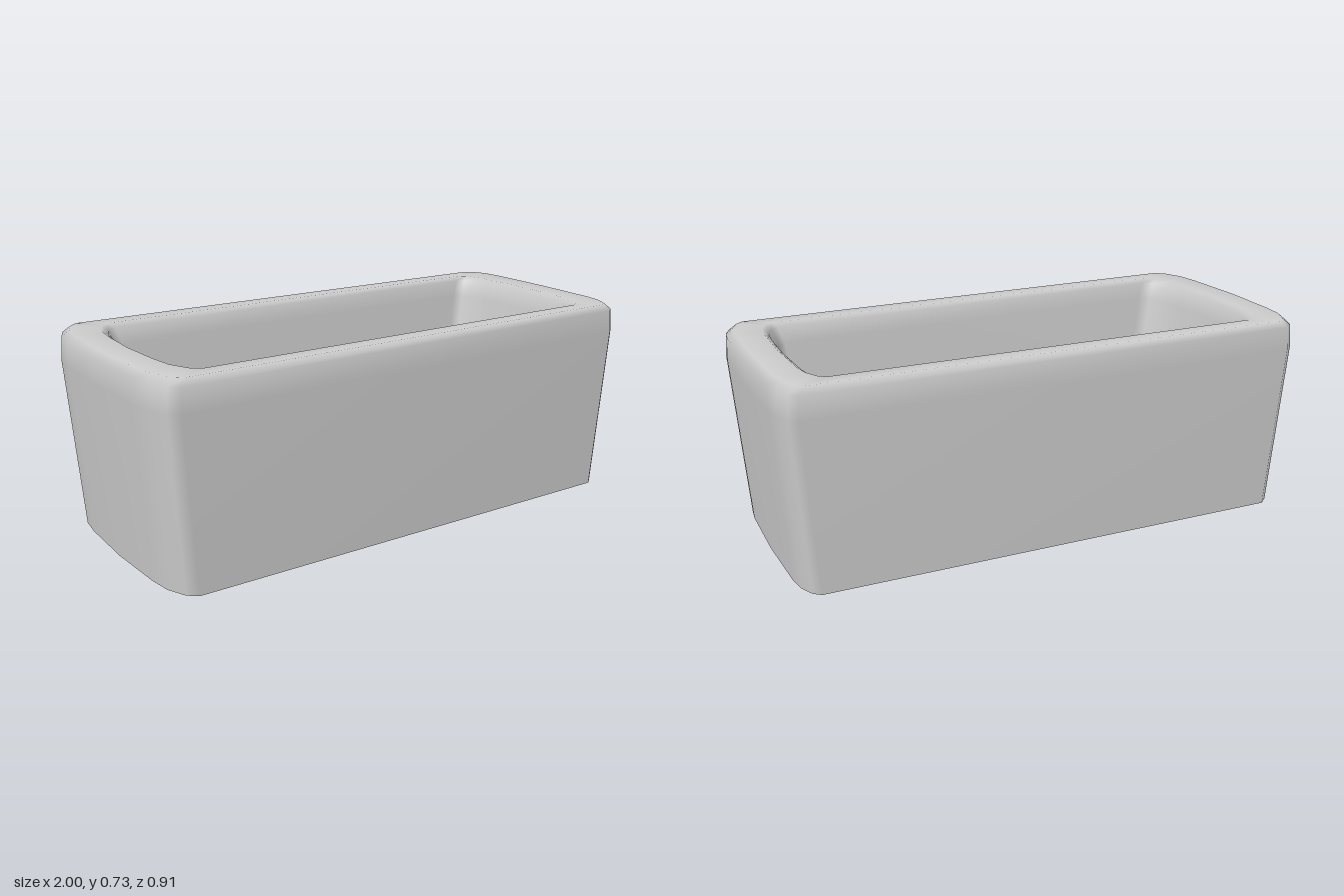
import * as THREE from 'three';

// Corner insets from the long side round to the middle of an end
const CORNER = [[0.075, 0], [0.045, 0.025], [0.018, 0.085], [0.008, 0.16]];

// One horizontal outline, counter-clockwise from above, a little narrower towards +x
function ring([hx, hz, y]) {
  const pts = [];
  const add = (x, z) => pts.push([x, y, z * (1 - 0.028 * x)]);
  const corner = (sx, sz, k, order) =>
    order.forEach(([dx, dz]) => add(sx * (hx - dx * k), sz * (hz - dz * k)));
  const back = [...CORNER].reverse();
  corner(1, 1, 0.9, CORNER);
  add(hx, 0);
  corner(1, -1, 0.9, back);
  corner(-1, -1, 1.15, CORNER);
  add(-hx, 0);
  corner(-1, 1, 1.15, back);
  return pts;
}

function toGeometry(points, index) {
  const g = new THREE.BufferGeometry();
  g.setAttribute('position', new THREE.Float32BufferAttribute(points.flat(), 3));
  g.setIndex(index);
  g.computeVertexNormals();
  return g;
}

// Skin a stack of outlines
function loft(sections) {
  const rings = sections.map(ring);
  const n = rings[0].length;
  const index = [];
  for (let r = 0; r < rings.length - 1; r++) {
    for (let j = 0; j < n; j++) {
      const a = r * n + j, b = r * n + (j + 1) % n;
      index.push(a, b, b + n, a, b + n, a + n);
    }
  }
  return toGeometry(rings.flat(), index);
}

// Flat panel filling one outline
function cap(section, up) {
  const pts = ring(section);
  const n = pts.length;
  const index = [];
  for (let j = 0; j < n; j++) {
    const k = (j + 1) % n;
    index.push(n, up ? j : k, up ? k : j);
  }
  return toGeometry([...pts, [0, section[2], 0]], index);
}

export function createModel() {
  const group = new THREE.Group();
  group.name = 'planter';
  const material = new THREE.MeshStandardMaterial({ color: 0xcccccc });

  // Half length, half width, height: up the outside, over the rim, down the inside
  const profile = [
    [0.955, 0.423, 0], [1, 0.442, 0.62], [0.995, 0.44, 0.705], [0.972, 0.422, 0.728],
    [0.88, 0.36, 0.728], [0.86, 0.345, 0.712], [0.84, 0.335, 0.65], [0.75, 0.298, 0.1],
  ];

  const add = (name, geometry) => {
    const mesh = new THREE.Mesh(geometry, material);
    mesh.name = name;
    group.add(mesh);
  };
  add('wallsAndRim', loft(profile));
  add('innerFloor', cap(profile[profile.length - 1], true));
  add('base', cap(profile[0], false));
  return group;
}
